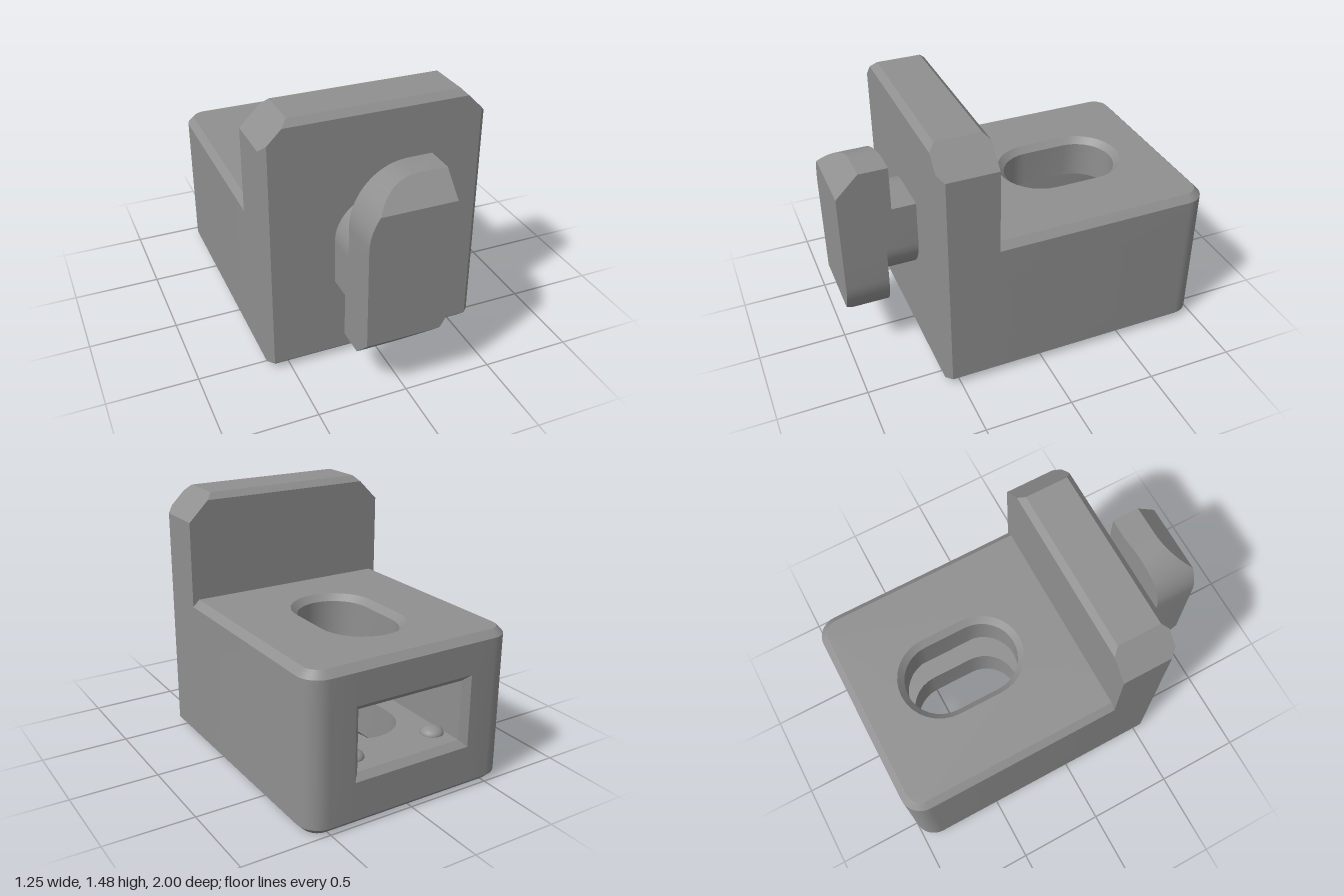
import * as THREE from 'three';
import { mergeGeometries, toCreasedNormals } from 'three/addons/utils/BufferGeometryUtils.js';
import { ConvexGeometry } from 'three/addons/geometries/ConvexGeometry.js';

const V = (x, y, z) => new THREE.Vector3(x, y, z);
const fromPoints = (pts) => new THREE.BufferGeometry().setFromPoints(pts);

// Wall of quads between two matching rows of points
function strip(a, b, closed = true) {
  const pts = [];
  const n = a.length;
  for (let i = 0; i < (closed ? n : n - 1); i++) {
    const j = (i + 1) % n;
    pts.push(a[i], a[j], b[j], a[i], b[j], b[i]);
  }
  return fromPoints(pts);
}

// Horizontal face at height y, with an optional hole
function cap(outer, hole, y, up) {
  const shape = new THREE.Shape(outer.map(([x, z]) => new THREE.Vector2(x, z)));
  if (hole) shape.holes.push(new THREE.Path(hole.map(([x, z]) => new THREE.Vector2(x, z))));
  const p = new THREE.ShapeGeometry(shape).toNonIndexed().attributes.position;
  const pts = [];
  for (let i = 0; i < p.count; i++) pts.push(V(p.getX(i), y, p.getY(i)));
  if (up) pts.reverse();
  return fromPoints(pts);
}

const atY = (ring, y) => ring.map(([x, z]) => V(x, y, z));

// Plan outline inset by d: rounded back corners, chamfered front corners
function outline(d) {
  const half = [[0.36, -1 + d]];
  for (let i = 0; i <= 8; i++) {
    const t = (i / 8) * Math.PI / 2;
    half.push([0.505 + (0.12 - d) * Math.sin(t), -0.88 - (0.12 - d) * Math.cos(t)]);
  }
  const c = 0.035 - d * (2 - Math.SQRT2);
  half.push([0.625 - d, 0.58 - d - c], [0.625 - d - c, 0.58 - d]);
  return [...half.map(([x, z]) => [-x, z]), ...half.reverse()];
}

// Long round-ended hole, widened by e
function slot(e) {
  const ring = [];
  const r = 0.208 + e;
  for (const s of [0, 1]) {
    for (let i = 0; i <= 16; i++) {
      const t = (s + i / 16) * Math.PI;
      ring.push([r * Math.cos(t), -0.375 + (s ? -0.127 : 0.127) + r * Math.sin(t)]);
    }
  }
  return ring;
}

// Block with a vertical slot and a pocket open at the back
function bodyGeometry() {
  const C = 0.038, full = outline(0), inset = outline(C);
  const hole = slot(0), flare = slot(0.036);
  const oy = [0.25, 0.665], iy = [0.285, 0.63], iw = 0.325, iz = -0.965, end = 0.05;
  const rect = (w, [lo, hi], z) => [V(w, lo, z), V(-w, lo, z), V(-w, hi, z), V(w, hi, z)];
  const pocket = [[iw, iz], [iw, end], [-iw, end], [-iw, iz]];
  const wall = (a, ya, b, yb, closed) => strip(atY(a, ya), atY(b, yb), closed);
  const parts = [
    // outer skin, left open at the pocket mouth
    wall(inset, 0, full, C), wall(full, C, full, oy[0]),
    wall(full, oy[0], full, oy[1], false),
    wall(full, oy[1], full, 0.88 - C), wall(full, 0.88 - C, inset, 0.88),
    cap(inset, flare, 0, false), cap(inset, flare, 0.88, true),
    // slot through floor and roof
    wall(flare, 0, hole, 0.036), wall(hole, 0.036, hole, iy[0]),
    wall(hole, iy[1], hole, 0.844), wall(hole, 0.844, flare, 0.88),
    // pocket
    strip(rect(0.36, oy, -1), rect(iw, iy, iz)),
    wall(pocket, iy[0], pocket, iy[1], false),
    cap(pocket, hole, iy[0], true), cap(pocket, hole, iy[1], false),
  ];
  return toCreasedNormals(mergeGeometries(parts), 0.5);
}

// Upright plate with cut top corners and chamfered edges
function plateGeometry() {
  const pts = [];
  for (const s of [-1, 1]) {
    for (const [x, y, z] of [
      [0.625, 0.842, 0.26], [0.625, 0.842, 0.545], [0.59, 0.842, 0.58],
      [0.625, 1.33, 0.26], [0.625, 1.33, 0.545], [0.59, 1.365, 0.58],
      [0.51, 1.445, 0.26], [0.51, 1.445, 0.58], [0.475, 1.48, 0.295], [0.475, 1.48, 0.545],
    ]) pts.push(V(s * x, y, z));
  }
  return new ConvexGeometry(pts);
}

const MID = 0.735, W = 0.235;

// Hammer head: sections stacked in y, two rounded corners, ramped back
function headGeometry() {
  const H = 0.5, R = 0.3, K = 0.125;
  const ys = [0, 0.008, 0.012, H - K];
  for (let i = 0; i <= 14; i++) ys.push(H - R + R * Math.sin((i / 14) * Math.PI / 2));
  ys.sort((a, b) => a - b);
  const levels = [...ys.slice(1).reverse().map((y) => -y), ...ys];
  const rows = levels.map((y) => {
    const side = y > 0 ? -1 : 1;
    const t = Math.max(0, Math.abs(y) - (H - R));
    const cut = R - Math.sqrt(Math.max(0, R * R - t * t));
    const xl = -W + (y > 0 ? cut : 0), xr = W - (y < 0 ? cut : 0);
    const front = 1 - Math.max(0, Math.abs(y) - (H - K));
    const back = (x) => 0.715 + (Math.abs(y) < 0.01 ? 0 : Math.max(0, 0.13 * (side * x + 0.1)));
    const xk = THREE.MathUtils.clamp(-side * 0.1, xl, xr);
    return [[xl, front], [xr, front], [xr, back(xr)], [xk, back(xk)], [xl, back(xl)]]
      .map(([x, z]) => V(x, MID + y, z));
  });
  const parts = [];
  for (let i = 0; i + 1 < rows.length; i++) parts.push(strip(rows[i], rows[i + 1]));
  const ends = [rows[0], rows[rows.length - 1]];
  ends.forEach((r, k) => {
    for (let i = 1; i < 4; i++) {
      parts.push(fromPoints(k ? [r[0], r[i], r[i + 1]] : [r[0], r[i + 1], r[i]]));
    }
  });
  return toCreasedNormals(mergeGeometries(parts), 0.4);
}

// Neck with the same pair of rounded corners
function neckGeometry() {
  const h = 0.245, s = new THREE.Shape();
  s.moveTo(-W, -h);
  s.lineTo(0, -h);
  s.absarc(0, -h + W, W, -Math.PI / 2, 0, false);
  s.lineTo(W, h);
  s.lineTo(0, h);
  s.absarc(0, h - W, W, Math.PI / 2, Math.PI, false);
  s.closePath();
  const g = new THREE.ExtrudeGeometry(s, { depth: 0.22, bevelEnabled: false, curveSegments: 16 });
  return toCreasedNormals(g.translate(0, MID, 0.57), 0.5);
}

export function createModel() {
  const model = new THREE.Group();
  model.name = 'slottedMount';
  const grey = new THREE.MeshStandardMaterial({ color: 0x909090, side: THREE.DoubleSide });
  grey.name = 'grey';
  const add = (name, geometry) => {
    const mesh = new THREE.Mesh(geometry, grey);
    mesh.name = name;
    model.add(mesh);
    return mesh;
  };

  add('body', bodyGeometry());
  add('uprightPlate', plateGeometry());
  add('lockNeck', neckGeometry());
  add('lockHead', headGeometry());

  // Small domes on the pocket floor and roof
  for (const x of [-0.26, 0.26]) {
    for (const y of [0.285, 0.63]) {
      const dome = add('pocketDome', new THREE.SphereGeometry(0.066, 20, 12));
      dome.scale.y = 0.6;
      dome.position.set(x, y, -0.82);
    }
  }
  return model;
}
